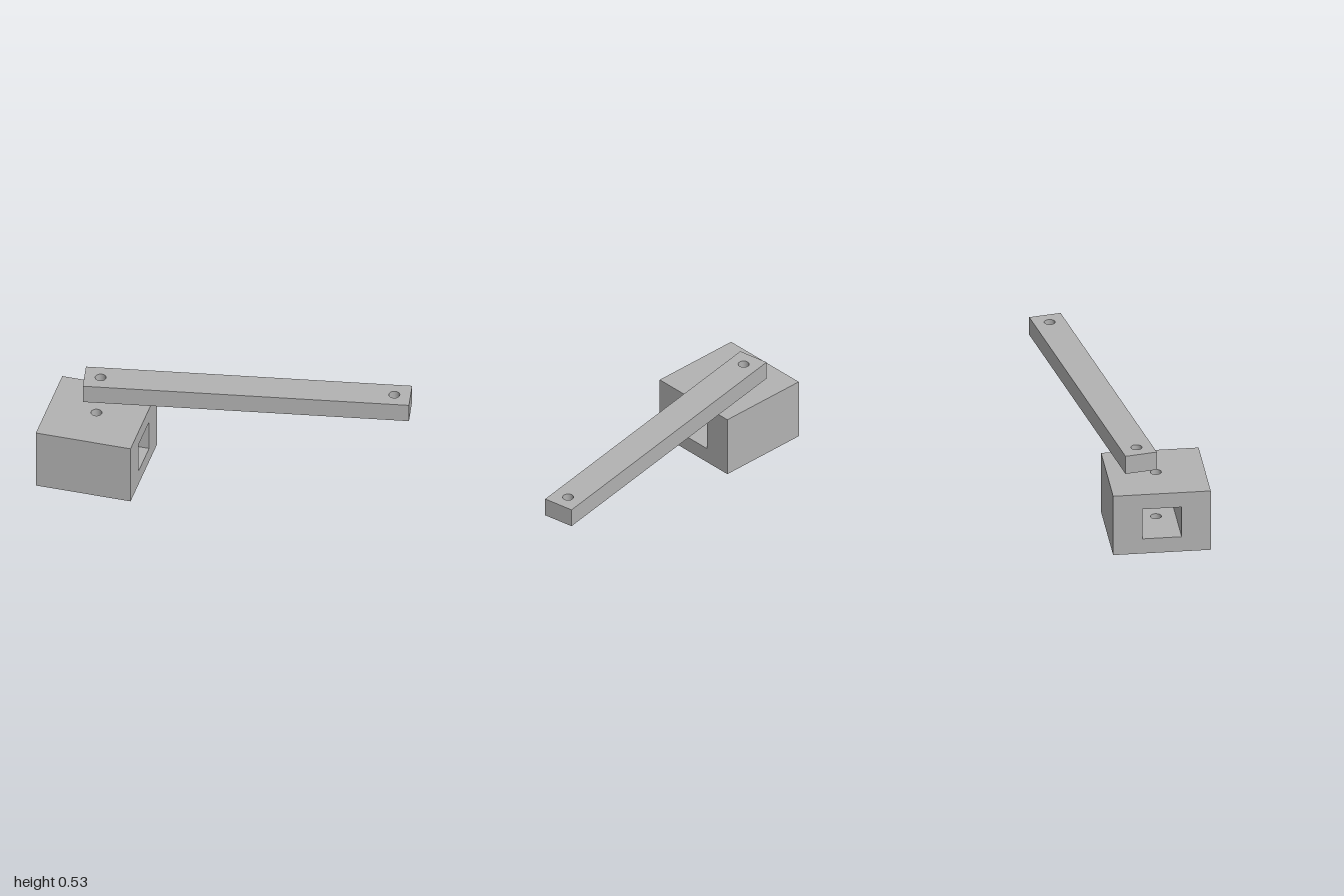
import * as THREE from 'three';
import { mergeGeometries } from 'three/addons/utils/BufferGeometryUtils.js';

const HOLE_RADIUS = 0.031;

// Rectangle centred on the origin, with optional hole paths
function rectangle(w, h, holes = []) {
  const shape = new THREE.Shape([
    new THREE.Vector2(-w / 2, -h / 2), new THREE.Vector2(w / 2, -h / 2),
    new THREE.Vector2(w / 2, h / 2), new THREE.Vector2(-w / 2, h / 2),
  ]);
  shape.holes.push(...holes);
  return shape;
}

function roundHole(x, y) {
  return new THREE.Path().absarc(x, y, HOLE_RADIUS, 0, Math.PI * 2, true);
}

// Block with a square tunnel along x, and a pin hole through its roof and floor
function blockGeometry(size, height, tunnelWidth, tunnelHeight) {
  const faces = [];
  const face = (shape, rx, ry, x, y, z) =>
    faces.push(new THREE.ShapeGeometry(shape, 16).rotateX(rx).rotateY(ry).translate(x, y, z));
  const q = Math.PI / 2;
  const s = size / 2, h = height / 2, tw = tunnelWidth / 2, th = tunnelHeight / 2;
  const tunnelMouth = () => new THREE.Path(rectangle(tunnelWidth, tunnelHeight).getPoints().reverse());

  for (const side of [1, -1]) {
    // Outer skin: ends with the tunnel mouth, front and back, top and bottom
    face(rectangle(size, height, [tunnelMouth()]), 0, side * q, side * s, 0, 0);
    face(rectangle(size, height), 0, side > 0 ? 0 : Math.PI, 0, 0, side * s);
    face(rectangle(size, size, [roundHole(0, 0)]), -side * q, 0, 0, side * h, 0);
    // Tunnel walls, facing inwards
    face(rectangle(size, tunnelHeight), 0, side > 0 ? Math.PI : 0, 0, 0, side * tw);
    face(rectangle(size, tunnelWidth, [roundHole(0, 0)]), side * q, 0, 0, side * th, 0);
    // Bore of the pin hole, turned inside out
    const bore = new THREE.CylinderGeometry(HOLE_RADIUS, HOLE_RADIUS, h - th, 32, 1, true);
    bore.scale(-1, 1, 1).translate(0, side * (h + th) / 2, 0);
    faces.push(bore);
  }
  return mergeGeometries(faces);
}

export function createModel() {
  const group = new THREE.Group();
  const grey = new THREE.MeshStandardMaterial({ color: 0xb2b2b2 });
  grey.name = 'plain grey';

  const block = new THREE.Mesh(blockGeometry(0.55, 0.367, 0.222, 0.185), grey);
  block.name = 'hollowBlock';
  block.position.set(-0.725, 0.1835, 0.114);
  group.add(block);

  // Slanted bar with a pin hole at each end
  const barShape = rectangle(1.833, 0.183, [roundHole(-0.825, 0), roundHole(0.825, 0)]);
  const barGeometry = new THREE.ExtrudeGeometry(barShape, { depth: 0.11, bevelEnabled: false, curveSegments: 16 });
  barGeometry.rotateX(-Math.PI / 2);
  const bar = new THREE.Mesh(barGeometry, grey);
  bar.name = 'leverBar';
  bar.position.set(0.081, 0.421, -0.14);
  bar.rotation.y = THREE.MathUtils.degToRad(10);
  group.add(bar);

  return group;
}
